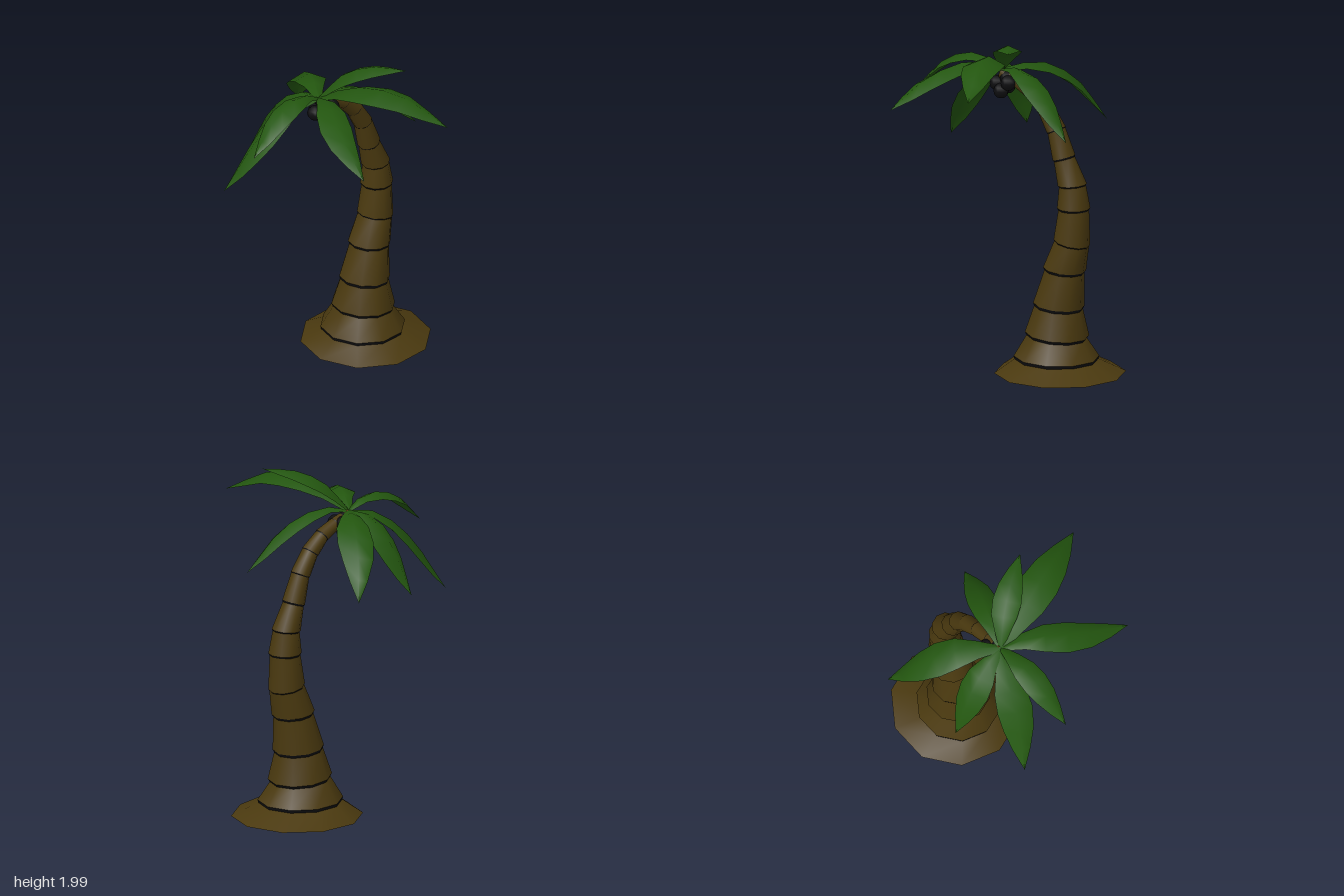
import * as THREE from 'three';
import { mergeVertices } from 'three/addons/utils/BufferGeometryUtils.js';

const bark = new THREE.MeshStandardMaterial({ name: 'bark brown', color: 0x4a390f });
const dark = new THREE.MeshStandardMaterial({ name: 'near black', color: 0x0e0e10 });
const green = new THREE.MeshStandardMaterial({ name: 'leaf green', color: 0x23560f, side: THREE.DoubleSide });

const SIDES = 10, TRUNK_X = -0.13;

// Open ten-sided band between two tilted rings { y, z, r, tilt }
function band(name, low, high, material) {
  let g = new THREE.CylinderGeometry(1, 1, 1, SIDES, 1, true);
  const p = g.attributes.position;
  for (let i = 0; i < p.count; i++) {
    const ring = p.getY(i) > 0 ? high : low;
    // rotate so that one corner points along x
    const a = Math.atan2(p.getX(i), p.getZ(i)) + Math.PI / 2;
    const s = Math.sin(a) * ring.r;
    p.setXYZ(i, TRUNK_X + Math.cos(a) * -ring.r, ring.y + s * Math.sin(ring.tilt), ring.z + s * Math.cos(ring.tilt));
  }
  g.deleteAttribute('uv');
  g.deleteAttribute('normal');
  g = mergeVertices(g, 1e-4);
  g.computeVertexNormals();
  const mesh = new THREE.Mesh(g, material);
  mesh.name = name;
  return mesh;
}

function makeTrunk() {
  const trunk = new THREE.Group();
  trunk.name = 'trunk';
  // joints: height, depth, radius below, radius above, tilt, collar height
  const joints = [
    [0.000, -0.300, 0.385, 0.385, 0.00, 0],
    [0.085, -0.275, 0.245, 0.250, 0.02, 0.018],
    [0.220, -0.278, 0.177, 0.188, 0.09, 0.018],
    [0.398, -0.290, 0.143, 0.150, 0.10, 0.018],
    [0.618, -0.330, 0.117, 0.126, 0.10, 0.016],
    [0.790, -0.380, 0.103, 0.108, 0.20, 0.008],
    [0.993, -0.393, 0.090, 0.097, 0.00, 0.012],
    [1.133, -0.384, 0.079, 0.085, -0.10, 0.008],
    [1.288, -0.328, 0.063, 0.068, -0.30, 0.010],
    [1.450, -0.275, 0.055, 0.058, -0.40, 0.006],
    [1.572, -0.200, 0.050, 0.052, -0.65, 0.006],
    [1.655, -0.110, 0.043, 0.045, -0.85, 0.006],
    [1.705, -0.010, 0.037, 0.038, -1.15, 0.004],
    [1.745, 0.100, 0.032, 0.032, -1.20, 0],
  ];
  const ringAt = ([y, z, r, R, tilt, gap], upper) => ({
    y: y + (upper ? gap / 2 : -gap / 2) * Math.cos(tilt),
    z: z + (upper ? -gap / 2 : gap / 2) * Math.sin(tilt),
    r: upper ? R : r, tilt,
  });
  for (let i = 0; i + 1 < joints.length; i++) {
    trunk.add(band('trunkSegment' + i, ringAt(joints[i], true), ringAt(joints[i + 1], false), bark));
    if (joints[i][5]) trunk.add(band('collar' + i, ringAt(joints[i], false), ringAt(joints[i], true), dark));
  }
  const bottom = new THREE.Mesh(new THREE.CircleGeometry(0.385, SIDES), bark);
  bottom.name = 'trunkBottom';
  bottom.rotation.x = Math.PI / 2;
  bottom.position.set(TRUNK_X, 0, -0.3);
  trunk.add(bottom);
  return trunk;
}

// Folded leaf blade along a curve; halfWidth at its widest
function makeLeaf(points, halfWidth) {
  const curve = new THREE.CatmullRomCurve3(points.map((p) => new THREE.Vector3(...p)));
  const profile = [0.18, 0.55, 0.9, 1, 0.85, 0.5, 0];
  const n = profile.length - 1;
  const up = new THREE.Vector3(0, 1, 0);
  const pos = [], index = [];
  profile.forEach((w, i) => {
    const c = curve.getPointAt(i / n), t = curve.getTangentAt(i / n);
    const side = t.clone().cross(up).normalize();
    const normal = side.clone().cross(t).normalize();
    for (const k of [-1, 0, 1]) {
      const v = c.clone().addScaledVector(side, k * w * halfWidth);
      v.addScaledVector(normal, -Math.abs(k) * w * halfWidth * 0.45);
      pos.push(v.x, v.y, v.z);
    }
    if (i < n) {
      for (const k of [0, 1]) {
        const a = i * 3 + k, b = a + 3;
        index.push(a, a + 1, b, a + 1, b + 1, b);
      }
    }
  });
  const g = new THREE.BufferGeometry();
  g.setAttribute('position', new THREE.Float32BufferAttribute(pos, 3));
  g.setIndex(index);
  g.computeVertexNormals();
  return new THREE.Mesh(g, green);
}

function makeCrown() {
  const crown = new THREE.Group();
  crown.name = 'crown';
  // each leaf: half width, then two middle points and the tip
  const leaves = [
    [0.105, [-0.32, 1.79, -0.04], [-0.52, 1.66, -0.17], [-0.665, 1.40, -0.29]],
    [0.095, [-0.28, 1.76, 0.13], [-0.44, 1.60, 0.165], [-0.57, 1.33, 0.20]],
    [0.105, [-0.21, 1.75, 0.24], [-0.29, 1.59, 0.42], [-0.40, 1.25, 0.615]],
    [0.080, [-0.13, 1.84, 0.25], [-0.125, 1.79, 0.46], [-0.12, 1.60, 0.66]],
    [0.095, [0.03, 1.84, 0.19], [0.27, 1.78, 0.34], [0.555, 1.62, 0.44]],
    [0.115, [0.09, 1.90, 0.04], [0.37, 1.92, -0.05], [0.66, 1.77, -0.16]],
    [0.085, [-0.02, 1.93, 0.0], [0.12, 1.99, -0.10], [0.285, 1.985, -0.205]],
    [0.085, [-0.07, 1.80, -0.06], [0.02, 1.70, -0.27], [0.10, 1.45, -0.485]],
  ];
  leaves.forEach(([w, ...pts], i) => {
    const leaf = makeLeaf([[-0.13, 1.77, 0.10], ...pts], w);
    leaf.name = 'leaf' + i;
    crown.add(leaf);
  });
  // cluster of nuts hanging under the leaves
  const nuts = [[-0.13, 1.68, 0.13], [-0.10, 1.645, 0.085], [-0.17, 1.66, 0.08],
    [-0.13, 1.72, 0.06], [-0.09, 1.70, 0.03], [-0.17, 1.71, 0.02]];
  nuts.forEach((c, i) => {
    const nut = new THREE.Mesh(new THREE.SphereGeometry(0.046, 8, 6), dark);
    nut.name = 'nut' + i;
    nut.position.set(...c);
    crown.add(nut);
  });
  return crown;
}

export function createModel() {
  const model = new THREE.Group();
  model.name = 'palmTree';
  model.add(makeTrunk(), makeCrown());
  return model;
}
